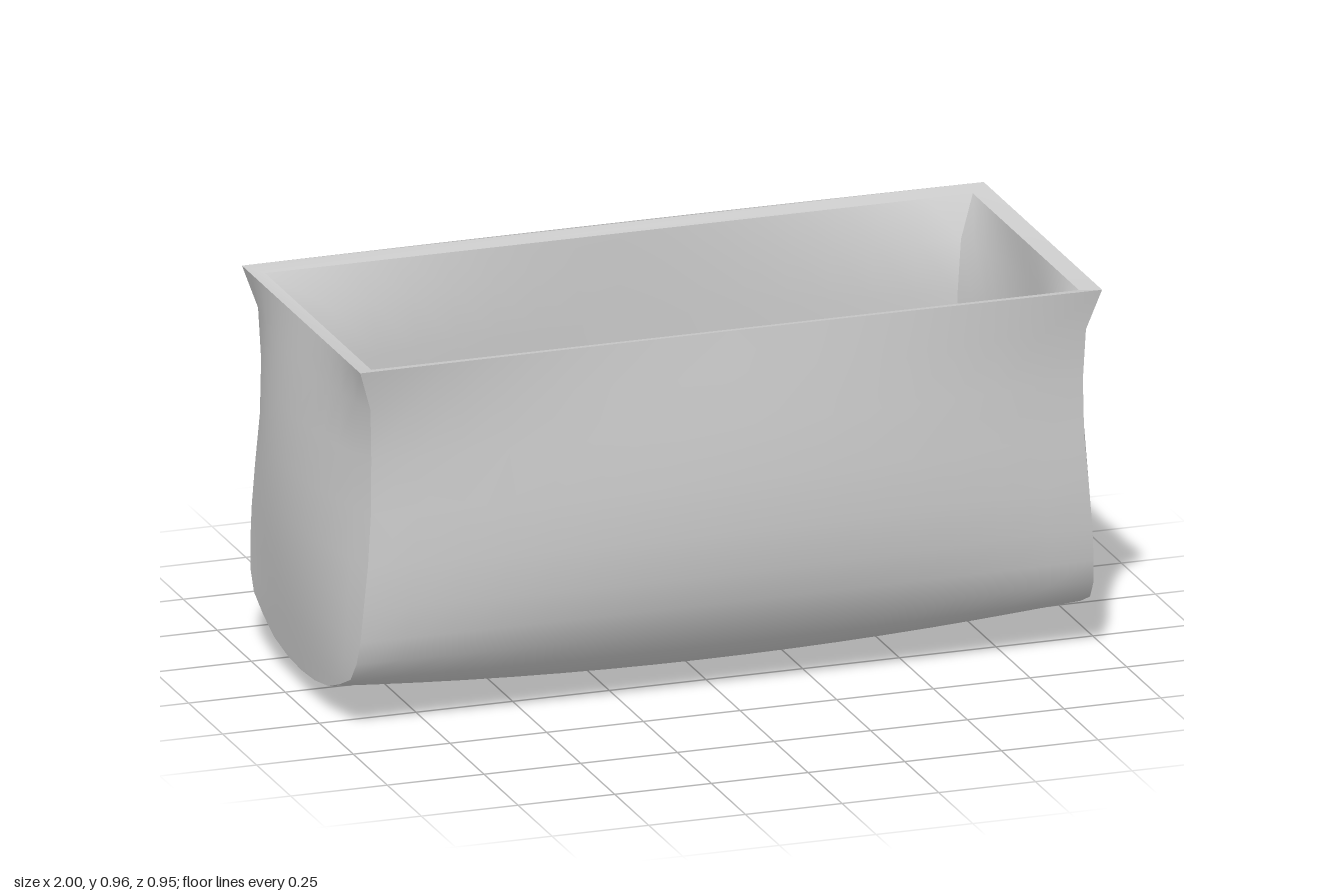
import * as THREE from 'three';

// Half sections from rim to keel: [mid z, mid y, end z, end y, end x]
const OUTER = {
  bulge: 0.041,
  rows: [
    [0.435, 0.957, 0.435, 0.955, 0.959],
    [0.447, 0.85, 0.413, 0.85, 0.925],
    [0.462, 0.72, 0.405, 0.72, 0.92],
    [0.473, 0.58, 0.408, 0.58, 0.922],
    [0.475, 0.45, 0.415, 0.45, 0.932],
    [0.462, 0.34, 0.412, 0.34, 0.942],
    [0.44, 0.26, 0.405, 0.25, 0.948],
    [0.41, 0.19, 0.39, 0.19, 0.953],
    [0.36, 0.125, 0.355, 0.14, 0.956],
    [0.285, 0.075, 0.28, 0.105, 0.958],
    [0.2, 0.035, 0.2, 0.075, 0.959],
    [0.1, 0.01, 0.1, 0.058, 0.959],
    [0, 0, 0, 0.053, 0.959],
  ],
};
const INNER = {
  bulge: 0.005,
  rows: [
    [0.39, 0.945, 0.39, 0.945, 0.915],
    [0.388, 0.85, 0.335, 0.85, 0.865],
    [0.388, 0.72, 0.317, 0.72, 0.85],
    [0.39, 0.58, 0.315, 0.58, 0.85],
    [0.39, 0.45, 0.32, 0.45, 0.858],
    [0.375, 0.36, 0.32, 0.36, 0.866],
    [0.355, 0.29, 0.312, 0.3, 0.872],
    [0.325, 0.235, 0.3, 0.25, 0.878],
    [0.28, 0.185, 0.275, 0.21, 0.885],
    [0.22, 0.14, 0.22, 0.175, 0.892],
    [0.155, 0.11, 0.155, 0.155, 0.898],
    [0.08, 0.092, 0.08, 0.14, 0.902],
    [0, 0.085, 0, 0.135, 0.904],
  ],
};
const LAST = OUTER.rows.length - 1;

// Smooth grid surface; point(i, j) returns [x, y, z]
function grid(ni, nj, point, flip = false) {
  const pos = [], index = [];
  for (let i = 0; i <= ni; i++) {
    for (let j = 0; j <= nj; j++) {
      pos.push(...point(i, j));
      if (i < ni && j < nj) {
        const a = i * (nj + 1) + j, b = a + nj + 1;
        if (flip) index.push(a, a + 1, b, b, a + 1, b + 1);
        else index.push(a, b, a + 1, b, b + 1, a + 1);
      }
    }
  }
  const g = new THREE.BufferGeometry();
  g.setAttribute('position', new THREE.Float32BufferAttribute(pos, 3));
  g.setIndex(index);
  g.computeVertexNormals();
  return g;
}

// Curved trough running from one rim over the keel to the other rim
function troughSkin({ rows }, flip) {
  const nj = 16;
  return grid(LAST * 2, nj, (i, j) => {
    const [mz, my, ez, ey, ex] = rows[i <= LAST ? i : 2 * LAST - i];
    const side = i <= LAST ? 1 : -1;
    const u = (2 * j) / nj - 1, k = 1 - u * u;
    return [u * ex, ey + (my - ey) * k, side * (ez + (mz - ez) * k)];
  }, flip);
}

// Bulging end panel at +x
function endSkin({ rows, bulge }, flip) {
  const nj = 12, top = rows[0], bottom = rows[LAST];
  return grid(LAST, nj, (i, j) => {
    const [, , ez, ey, ex] = rows[i];
    const v = 1 - (2 * j) / nj;
    const t = (top[3] - ey) / (top[3] - bottom[3]);
    const centre = top[4] + (bottom[4] - top[4]) * t + bulge * Math.sin(Math.PI * t);
    return [ex + (centre - ex) * (1 - v * v), ey, v * ez];
  }, flip);
}

// Narrow rim sloping from the outer skin down to the inner one
function rimGeometry() {
  const corners = [[1, 1], [-1, 1], [-1, -1], [1, -1], [1, 1]];
  return grid(1, 4, (i, j) => {
    const [, , z, y, x] = (i ? INNER : OUTER).rows[0];
    return [corners[j][0] * x, y, corners[j][1] * z];
  });
}

export function createModel() {
  const group = new THREE.Group();
  group.name = 'trough';
  const material = new THREE.MeshStandardMaterial({ color: 0xcccccc, side: THREE.DoubleSide });
  const add = (name, geometry) => {
    const mesh = new THREE.Mesh(geometry, material);
    mesh.name = name;
    group.add(mesh);
    return mesh;
  };

  for (const [prefix, skin, flip] of [['outer', OUTER, false], ['inner', INNER, true]]) {
    add(prefix + 'Wall', troughSkin(skin, flip));
    const end = endSkin(skin, flip);
    add(prefix + 'LeftEnd', end);
    add(prefix + 'RightEnd', end).rotation.y = Math.PI;
  }
  add('rim', rimGeometry());
  return group;
}
